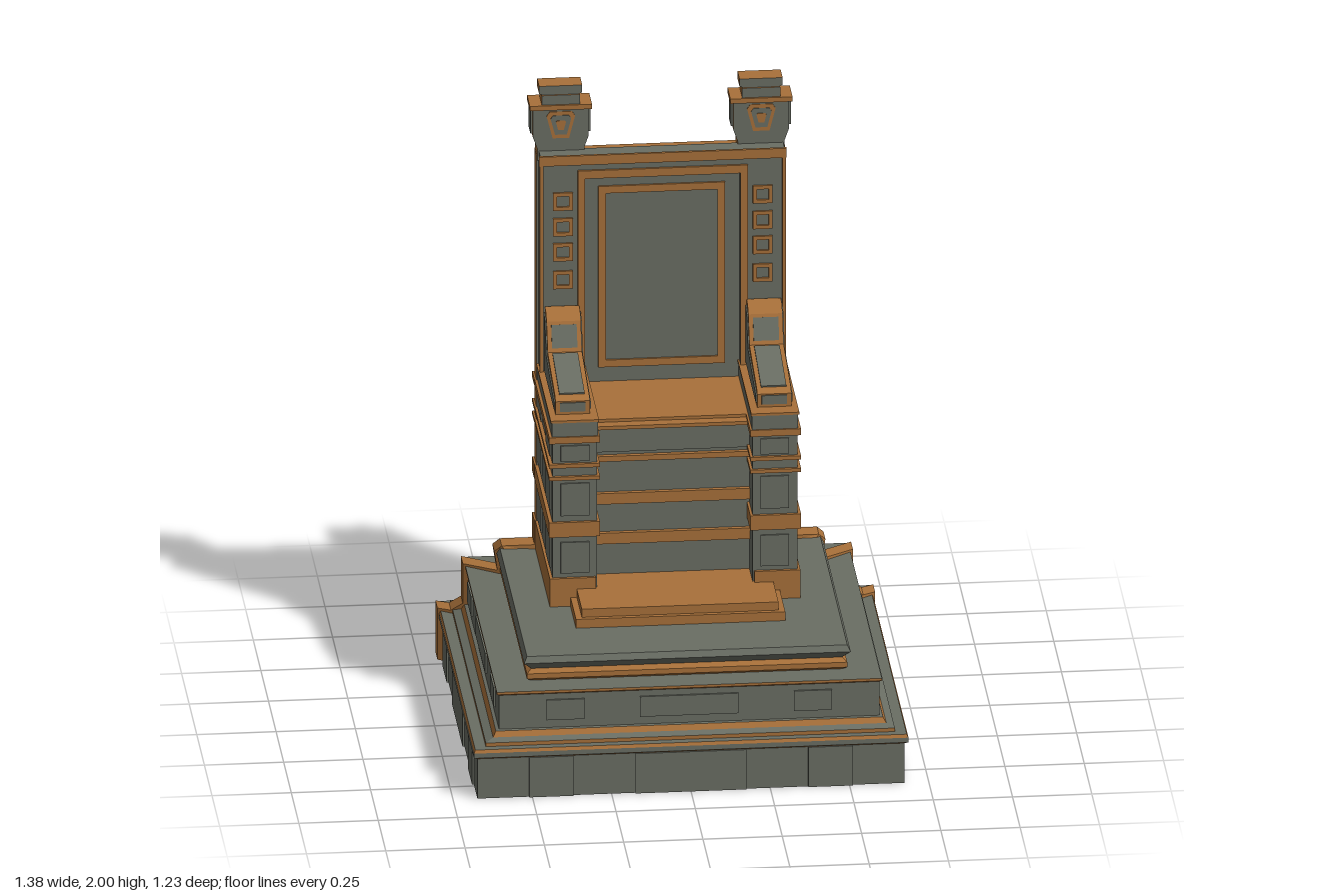
import * as THREE from 'three';

const stone = new THREE.MeshStandardMaterial({ color: 0x6a6e64, side: THREE.DoubleSide });
stone.name = 'grey stone';
const bronze = new THREE.MeshStandardMaterial({ color: 0xa9713a, side: THREE.DoubleSide });
bronze.name = 'bronze';

function add(parent, name, geometry, material) {
  const mesh = new THREE.Mesh(geometry, material);
  mesh.name = name;
  parent.add(mesh);
  return mesh;
}

// Box given by its limits on each axis
function box(parent, name, material, x0, x1, y0, y1, z0, z1) {
  const g = new THREE.BoxGeometry(x1 - x0, y1 - y0, z1 - z0);
  g.translate((x0 + x1) / 2, (y0 + y1) / 2, (z0 + z1) / 2);
  return add(parent, name, g, material);
}

// Hollow rectangular outline made of four thin bars, facing z
function outline(parent, name, x0, x1, y0, y1, t, z0, z1) {
  box(parent, name, bronze, x0, x1, y1 - t, y1, z0, z1);
  box(parent, name, bronze, x0, x1, y0, y0 + t, z0, z1);
  box(parent, name, bronze, x0, x0 + t, y0 + t, y1 - t, z0, z1);
  box(parent, name, bronze, x1 - t, x1, y0 + t, y1 - t, z0, z1);
}

const shapeOf = (pts) => new THREE.Shape(pts.map(([x, y]) => new THREE.Vector2(x, y)));
const extrude = (pts, depth) => new THREE.ExtrudeGeometry(shapeOf(pts), { depth, bevelEnabled: false });

// Side-profile (z, y) extruded across x, centred on cx
function sideProfile(pts, width, cx) {
  return extrude(pts, width).translate(0, 0, -width / 2).rotateY(-Math.PI / 2).translate(cx, 0, 0);
}

// Open shell of rectangular rings: [halfX, halfZ, y, material index up to next ring]
function steppedShell(rings) {
  const pos = [], geo = new THREE.BufferGeometry();
  const corner = ([hx, hz, y], k) => [[hx, y, hz], [hx, y, -hz], [-hx, y, -hz], [-hx, y, hz]][k % 4];
  for (let i = 0; i < rings.length - 1; i++) {
    geo.addGroup(i * 24, 24, rings[i][3]);
    for (let k = 0; k < 4; k++) {
      const a = corner(rings[i], k), b = corner(rings[i], k + 1);
      const c = corner(rings[i + 1], k + 1), d = corner(rings[i + 1], k);
      pos.push(...a, ...b, ...c, ...a, ...c, ...d);
    }
  }
  geo.setAttribute('position', new THREE.Float32BufferAttribute(pos, 3));
  geo.computeVertexNormals();
  return geo;
}

function buildBase(root) {
  const G = 0, O = 1;
  add(root, 'steppedBase', steppedShell([
    [0.673, 0.603, 0, G], [0.673, 0.603, 0.135, O], [0.685, 0.615, 0.142, G], [0.685, 0.615, 0.158, O],
    [0.68, 0.61, 0.168, G], [0.645, 0.585, 0.168, O], [0.645, 0.585, 0.18, G], [0.62, 0.565, 0.19, O],
    [0.61, 0.555, 0.207, G], [0.6, 0.548, 0.21, G], [0.6, 0.548, 0.325, O], [0.607, 0.555, 0.33, O],
    [0.607, 0.555, 0.338, G], [0.49, 0.465, 0.338, O], [0.505, 0.478, 0.348, O], [0.505, 0.478, 0.365, O],
    [0.49, 0.465, 0.378, G], [0.515, 0.49, 0.405, G], [0.505, 0.48, 0.425, G], [0.3, 0.25, 0.425, G],
  ]), [stone, bronze]);

  // Block plates on all four sides of the two lower steps
  const tiers = [
    [0.673, 0.603, 0, 0.135, [[-0.44, 0.14], [0, 0.35], [0.44, 0.14]]],
    [0.6, 0.548, 0.237, 0.305, [[-0.39, 0.12], [0, 0.31], [0.39, 0.12]]],
  ];
  for (const [hx, hz, y0, y1, spans] of tiers) {
    for (const [c, w] of spans) {
      for (const s of [-1, 1]) {
        const z = s * hz, x = s * hx, cz = c * 0.95;
        box(root, 'basePanel', stone, c - w / 2, c + w / 2, y0, y1, z - 0.006, z + 0.006);
        box(root, 'basePanel', stone, x - 0.006, x + 0.006, y0, y1, cz - w / 2, cz + w / 2);
      }
    }
  }
  // Foot step
  box(root, 'footStep', bronze, -0.33, 0.33, 0.42, 0.455, -0.1, 0.265);
  box(root, 'footStepTop', bronze, -0.31, 0.31, 0.455, 0.483, -0.1, 0.25);
}

function buildSeat(root) {
  box(root, 'seatCore', stone, -0.245, 0.245, 0.425, 0.98, -0.44, -0.03);
  box(root, 'seatLip', stone, -0.245, 0.245, 0.9, 0.985, -0.1, -0.022);
  box(root, 'seatTop', bronze, -0.245, 0.245, 0.98, 1.0, -0.38, -0.05);
  for (const [y0, y1] of [[0.59, 0.627], [0.725, 0.762], [0.87, 0.888], [0.978, 0.99]]) {
    box(root, 'seatFrontBand', bronze, -0.25, 0.25, y0, y1, -0.06, -0.015);
  }
}

function buildBack(root) {
  // Rear wall: grey faces, bronze edges
  const wall = extrude([[-0.392, 0.425], [0.392, 0.425], [0.392, 1.765], [-0.392, 1.765]], 0.062);
  add(root, 'rearWall', wall.translate(0, 0, -0.452), [stone, bronze]);
  for (const [y0, y1] of [[0.425, 0.52], [0.66, 0.71], [0.853, 0.865], [0.895, 0.908], [0.978, 1.0]]) {
    box(root, 'rearBand', bronze, -0.398, 0.398, y0, y1, -0.463, -0.4);
  }
  box(root, 'rearMark', bronze, 0.15, 0.28, 1.63, 1.642, -0.456, -0.45);
  // Recessed panel and its frame
  box(root, 'backPanel', stone, -0.25, 0.25, 1.0, 1.72, -0.4, -0.36);
  outline(root, 'panelInlay', -0.2, 0.2, 1.05, 1.665, 0.024, -0.362, -0.353);
  box(root, 'backTopRail', stone, -0.385, 0.385, 1.71, 1.782, -0.39, -0.325);
  box(root, 'topRailTrim', bronze, -0.39, 0.39, 1.755, 1.787, -0.326, -0.317);
  box(root, 'innerTopTrim', bronze, -0.268, 0.268, 1.708, 1.735, -0.326, -0.317);
}

// One side of the throne at +x
function buildSide() {
  const side = new THREE.Group();
  // Post with bands and panels
  box(side, 'sidePost', stone, 0.245, 0.386, 0.425, 1.0, -0.445, 0.075);
  box(side, 'postFoot', bronze, 0.25, 0.395, 0.42, 0.52, -0.455, 0.085);
  for (const [y0, y1] of [[0.66, 0.71], [0.853, 0.865], [0.895, 0.908], [0.978, 1.0]]) {
    box(side, 'postBand', bronze, 0.237, 0.397, y0, y1, -0.46, 0.085);
  }
  for (const [y0, y1] of [[0.535, 0.64], [0.73, 0.84], [0.915, 0.968]]) {
    for (const z of [-0.035, -0.315]) {
      box(side, 'postPanel', stone, 0.38, 0.391, y0, y1, z - 0.06, z + 0.06);
    }
    box(side, 'postFrontPanel', stone, 0.27, 0.36, y0, y1, 0.07, 0.08);
  }
  box(side, 'postCap', stone, 0.243, 0.388, 1.0, 1.048, -0.39, 0.08);
  box(side, 'postCapTop', bronze, 0.24, 0.392, 1.048, 1.056, -0.39, 0.084);

  // Backrest column with trims and square ornaments
  box(side, 'backColumn', stone, 0.245, 0.385, 1.0, 1.75, -0.39, -0.325);
  box(side, 'outerTrim', bronze, 0.377, 0.388, 1.05, 1.755, -0.326, -0.317);
  box(side, 'innerTrim', bronze, 0.245, 0.268, 1.05, 1.71, -0.326, -0.317);
  for (const y of [1.632, 1.545, 1.46, 1.366]) {
    outline(side, 'squareOrnament', 0.284, 0.346, y - 0.03, y + 0.03, 0.012, -0.326, -0.318);
  }

  // Armrest: bronze body with grey inset plates
  const cx = 0.318;
  add(side, 'armrest', sideProfile([[-0.32, 1.055], [0.032, 1.055], [0.032, 1.1], [0.015, 1.112],
    [-0.225, 1.16], [-0.262, 1.25], [-0.285, 1.272], [-0.32, 1.278]], 0.108, cx), bronze);
  add(side, 'armrestSide', sideProfile([[-0.31, 1.068], [0.022, 1.068], [0.022, 1.094],
    [-0.233, 1.146], [-0.274, 1.245], [-0.31, 1.262]], 0.116, cx), stone);
  const slope = (z0, y0, z1, y1) => {
    const plate = add(side, 'armrestPlate', new THREE.BoxGeometry(0.08, 0.009, Math.hypot(z1 - z0, y1 - y0)), stone);
    plate.position.set(cx, (y0 + y1) / 2, (z0 + z1) / 2);
    plate.rotation.x = Math.atan2(y1 - y0, z0 - z1);
  };
  slope(0.008, 1.114, -0.215, 1.158);
  slope(-0.23, 1.172, -0.258, 1.24);
  box(side, 'armrestFront', stone, 0.278, 0.358, 1.066, 1.096, 0.03, 0.036);

  // Finial: grey faces, bronze edges, emblem front and back
  const hx = 0.316;
  const centred = (pts) => [...pts, ...pts.map(([x, y]) => [-x, y]).reverse()];
  const head = extrude(centred([[0.074, 1.75], [0.074, 1.79], [0.088, 1.83], [0.088, 1.925], [0.06, 1.93], [0.06, 1.97]]), 0.08);
  add(side, 'finial', head.translate(hx, 0, -0.459), [stone, bronze]);
  box(side, 'finialRim', bronze, hx - 0.098, hx + 0.098, 1.922, 1.938, -0.466, -0.372);
  for (const s of [-1, 1]) {
    box(side, 'finialCheek', stone, hx + s * 0.09 - 0.005, hx + s * 0.09 + 0.005, 1.84, 1.92, -0.45, -0.388);
  }
  const cap = extrude(centred([[0.056, 1.938], [0.056, 1.97], [0.068, 1.975], [0.068, 2.0]]), 0.066);
  add(side, 'finialCap', cap.translate(hx, 0, -0.45), [stone, bronze]);
  [[1, bronze], [0.72, stone], [0.35, bronze]].forEach(([k, material], i) => {
    const pts = centred([[0.026, -0.045], [0.045, 0.03], [0.035, 0.045]]).map(([x, y]) => [x * k, y * k]);
    const depth = 0.085 + i * 0.004;
    const shield = extrude(pts, depth).translate(hx, 1.87, -0.419 - depth / 2);
    add(side, 'emblem', shield, material);
  });

  // Strap running down the steps to the rear corner, sheared backwards
  const strap = extrude([[0.38, 0.44], [0.5, 0.434], [0.522, 0.41], [0.513, 0.348], [0.615, 0.345], [0.615, 0.21],
    [0.65, 0.178], [0.69, 0.175], [0.69, 0], [0.665, 0], [0.665, 0.155], [0.59, 0.18], [0.59, 0.325],
    [0.48, 0.33], [0.48, 0.41], [0.38, 0.415]], 0.062);
  const p = strap.attributes.position;
  for (let i = 0; i < p.count; i++) {
    p.setZ(i, p.getZ(i) - 0.452 - Math.max(0, p.getX(i) - 0.48) * 0.7);
  }
  strap.computeVertexNormals();
  add(side, 'cornerStrap', strap, bronze);
  return side;
}

export function createModel() {
  const root = new THREE.Group();
  root.name = 'throne';
  buildBase(root);
  buildSeat(root);
  buildBack(root);
  const left = buildSide();
  left.name = 'leftSide';
  const right = left.clone();
  right.name = 'rightSide';
  right.scale.x = -1;
  root.add(left, right);
  return root;
}
